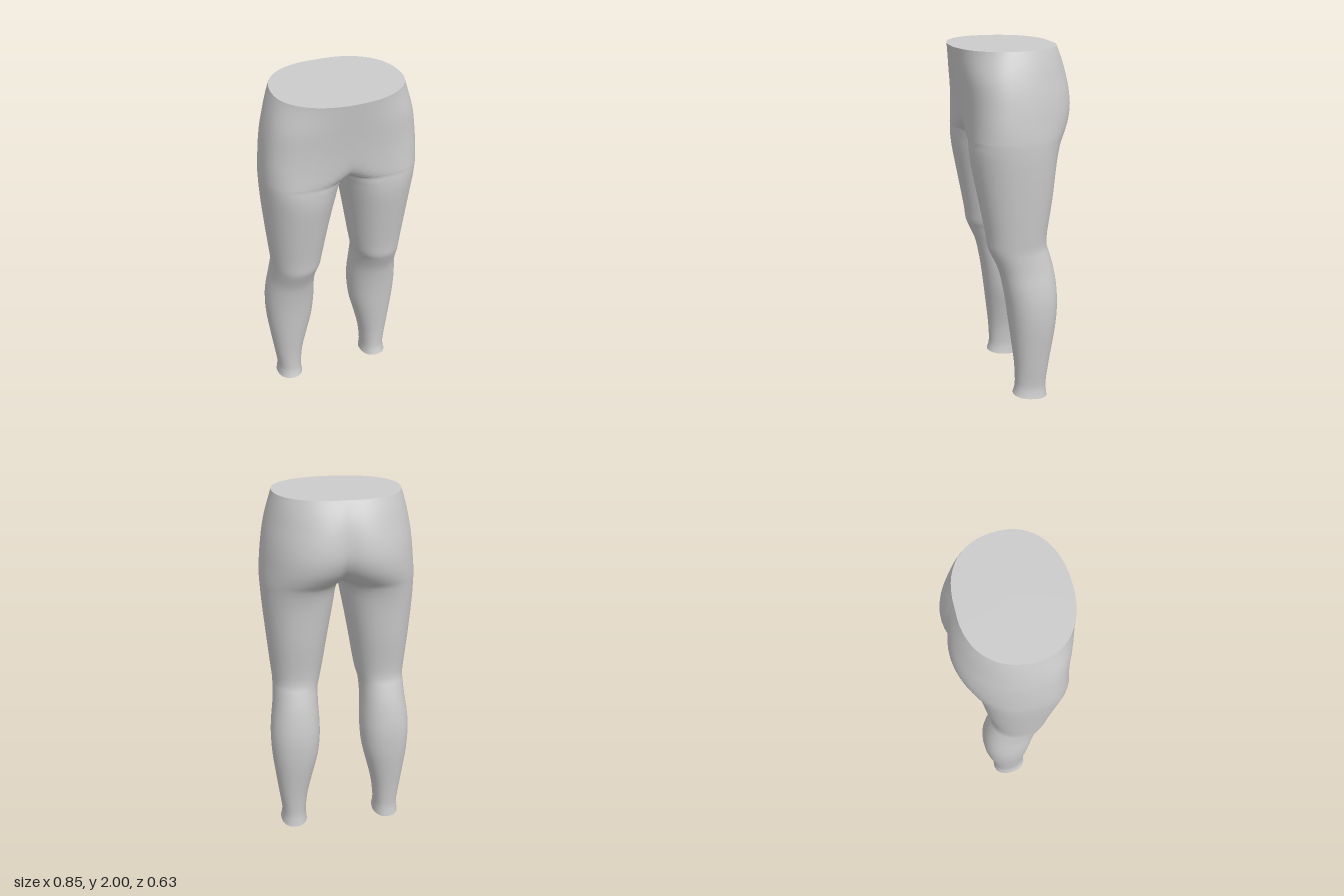
import * as THREE from 'three';
import { mergeVertices } from 'three/addons/utils/BufferGeometryUtils.js';

// Cross-sections of one leg: height, outer x, inner x, front z, back z, (inner x of the back half).
// A negative inner x means that the two legs run into each other there.
const SECTIONS = [
  [2.00, 0.345, -0.345, 0.31, -0.25, -0.29],
  [1.90, 0.375, -0.375, 0.295, -0.285, -0.27],
  [1.80, 0.398, -0.35, 0.28, -0.308, -0.24],
  [1.70, 0.412, -0.26, 0.268, -0.316, -0.21],
  [1.62, 0.42, -0.16, 0.262, -0.298, -0.15],
  [1.56, 0.424, -0.07, 0.26, -0.265, -0.07],
  [1.51, 0.425, 0, 0.258, -0.234],
  [1.40, 0.42, 0.025, 0.253, -0.208],
  [1.20, 0.403, 0.062, 0.217, -0.185],
  [1.02, 0.386, 0.092, 0.184, -0.158],
  [0.94, 0.378, 0.108, 0.174, -0.155],
  [0.89, 0.378, 0.122, 0.155, -0.168],
  [0.80, 0.384, 0.126, 0.116, -0.192],
  [0.70, 0.398, 0.122, 0.092, -0.208],
  [0.60, 0.405, 0.122, 0.075, -0.214],
  [0.48, 0.40, 0.134, 0.06, -0.207],
  [0.36, 0.386, 0.163, 0.046, -0.19],
  [0.22, 0.368, 0.196, 0.031, -0.167],
  [0.10, 0.352, 0.21, 0.026, -0.154],
  [0.05, 0.354, 0.209, 0.031, -0.156],
  [0.017, 0.36, 0.205, 0.04, -0.16],
];
const CROTCH = 1.51;
const STEPS = 3; // rows between two sections
const HALF = 14; // points on the front or back half of a loop
const { clamp, lerp, smoothstep } = THREE.MathUtils;

// Smooth interpolation between the sections
function sectionAt(t) {
  const last = SECTIONS.length - 1;
  const i = Math.min(Math.floor(t), last - 1), f = t - i;
  const get = (n, k) => {
    const s = SECTIONS[clamp(n, 0, last)];
    return s[k] ?? s[2];
  };
  return [0, 1, 2, 3, 4, 5].map((k) => {
    const [a, b, c, d] = [-1, 0, 1, 2].map((o) => get(i + o, k));
    return b + 0.5 * f * (c - a + f * (2 * a - 5 * b + 4 * c - d + f * (3 * (b - c) + d - a)));
  });
}

// One loop from the front centre round the outside to the back centre
function loopAt(t) {
  const [y, outer, innerFront, zFront, zBack, innerBack] = sectionAt(t);
  // the hips are widest towards the front, squarer in front and rounder behind
  const zMid = lerp((zFront + zBack) / 2, 0.045, smoothstep(y, 1.3, 1.65));
  const hip = smoothstep(y, 1.35, 1.65) * (1 - smoothstep(y, 1.82, 2));
  const points = [];
  for (let i = -HALF; i <= HALF; i++) {
    const front = i < 0;
    const raw = front ? innerFront : innerBack;
    const power = front ? 2.2 + 0.5 * hip : 2.25 - 0.25 * hip;
    const inner = y > CROTCH ? clamp(raw, -outer, 0) : Math.max(raw, 0);
    const cx = (outer + inner) / 2, rx = (outer - inner) / 2;
    // the arc is cut where it meets the middle plane
    const reach = clamp(cx / rx, 0, 1);
    const end = Math.acos(-Math.pow(reach, power / 2));
    const angle = (Math.abs(i) / HALF) * end;
    const c = Math.cos(angle), s = Math.max(0, Math.sin(angle));
    let x = cx + rx * Math.sign(c) * Math.pow(Math.abs(c), 2 / power);
    if (Math.abs(x) < 1e-5) x = 0;
    const z = zMid + ((front ? zFront : zBack) - zMid) * Math.pow(s, 2 / power);
    const tilt = 0.13 * (z + 0.06) * Math.max(0, 1 - y / 0.3);
    points.push(new THREE.Vector3(x, y + tilt, z));
  }
  return points;
}

const mirror = (p, side) => new THREE.Vector3(p.x * side, p.y, p.z);

function makeGeometry(points, index) {
  const raw = new THREE.BufferGeometry().setFromPoints(points);
  raw.setIndex(index);
  const geometry = mergeVertices(raw, 1e-5);
  geometry.computeVertexNormals();
  return geometry;
}

// Fan that closes a loop round a centre point
function fan(loop, centre, flip) {
  const index = [];
  for (let i = 0; i < loop.length; i++) {
    const a = i + 1, b = ((i + 1) % loop.length) + 1;
    index.push(0, ...(flip ? [b, a] : [a, b]));
  }
  return makeGeometry([centre, ...loop], index);
}

export function createModel() {
  const group = new THREE.Group();
  const material = new THREE.MeshStandardMaterial({ color: 0xcccccc, side: THREE.DoubleSide });
  const add = (name, geometry) => {
    const mesh = new THREE.Mesh(geometry, material);
    mesh.name = name;
    group.add(mesh);
  };

  const rows = [];
  const count = (SECTIONS.length - 1) * STEPS;
  for (let r = 0; r <= count; r++) rows.push(loopAt(r / STEPS));

  // Hips and both legs in one smooth skin
  const points = [], index = [], n = 2 * HALF + 1;
  for (const side of [1, -1]) {
    const start = points.length;
    rows.forEach((row) => points.push(...row.map((p) => mirror(p, side))));
    for (let r = 0; r < count; r++) {
      for (let i = 0; i < n - 1; i++) {
        const a = start + r * n + i, b = a + 1, c = a + n, d = c + 1;
        index.push(...(side > 0 ? [c, d, b, c, b, a] : [c, b, d, c, a, b]));
      }
    }
  }
  add('hipsAndLegs', makeGeometry(points, index));

  // Flat closed waist
  const top = rows[0];
  const waist = [...top, ...top.slice(1, -1).reverse().map((p) => mirror(p, -1))];
  add('waistCap', fan(waist, new THREE.Vector3(0, 2, 0.03), false));

  // Slightly hollow ends of the legs
  const hem = rows[count].slice(0, -1);
  for (const side of [1, -1]) {
    const centre = new THREE.Vector3(0.283 * side, 0.055, -0.06);
    add(side > 0 ? 'leftAnkleCap' : 'rightAnkleCap', fan(hem.map((p) => mirror(p, side)), centre, side > 0));
  }
  return group;
}
